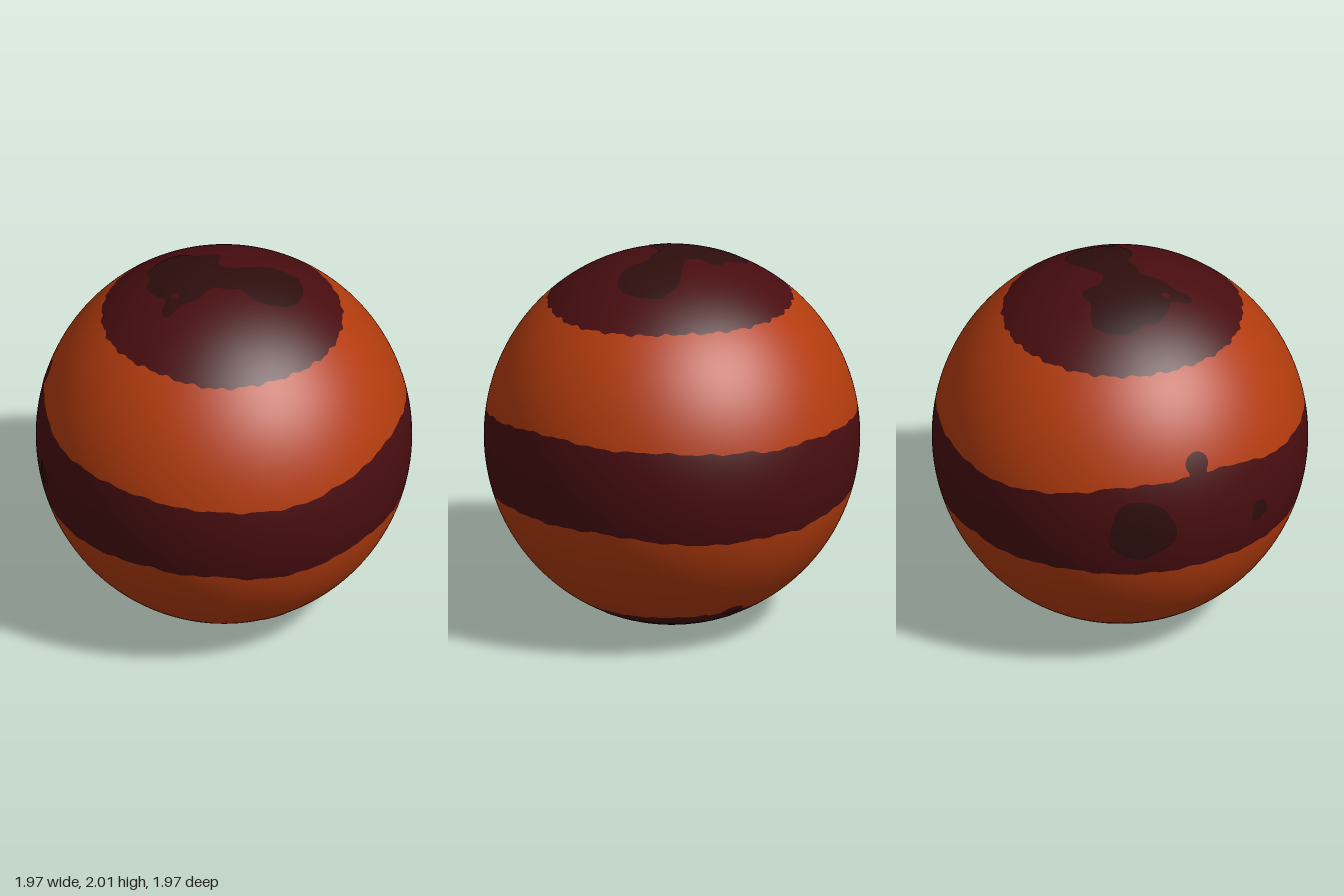
import * as THREE from 'three';

const mat = (name, color) => {
  const m = new THREE.MeshStandardMaterial({ color });
  m.name = name;
  return m;
};

// Heights of the colour borders, evenly spaced round the globe from the front towards +x
const CAP_TOP = [1.75, 1.755, 1.775, 1.79, 1.78, 1.77, 1.765, 1.76, 1.76, 1.755, 1.76, 1.74];
const BELT_TOP = [
  1.16, 1.19, 1.21, 1.24, 1.255, 1.26, 1.25, 1.25, 1.255, 1.245, 1.235, 1.23,
  1.205, 1.215, 1.2, 1.19, 1.175, 1.165, 1.18, 1.2, 1.23, 1.265, 1.275, 1.28,
  1.29, 1.285, 1.25, 1.215, 1.21, 1.205, 1.2, 1.19, 1.175, 1.17, 1.16, 1.155];
const BELT_BOTTOM = [
  0.71, 0.73, 0.755, 0.765, 0.765, 0.77, 0.78, 0.77, 0.75, 0.735, 0.725, 0.73,
  0.73, 0.72, 0.745, 0.75, 0.76, 0.735, 0.735, 0.74, 0.74, 0.73, 0.73, 0.73,
  0.735, 0.735, 0.73, 0.73, 0.73, 0.735, 0.745, 0.755, 0.735, 0.75, 0.72, 0.705];
const CAP_BOTTOM = [0.2, 0.18, 0.18, 0.19, 0.2, 0.18, 0.18, 0.2, 0.23, 0.19, 0.175, 0.185];

// Latitude of a border at turn t (0..1), with a slight ragged wobble
function border(table, seed) {
  return (t) => {
    const f = t * table.length, i = Math.floor(f);
    const a = table[i % table.length], b = table[(i + 1) % table.length];
    const p = t * Math.PI * 2;
    const wobble = 0.004 * Math.sin(29 * p + seed) + 0.003 * Math.sin(53 * p + 2 * seed);
    return Math.asin(a + (b - a) * (f - i) + wobble - 1);
  };
}

function surface(positions, index) {
  const g = new THREE.BufferGeometry();
  g.setAttribute('position', new THREE.Float32BufferAttribute(positions, 3));
  // On a unit sphere the normal follows the position
  const normals = new THREE.Float32BufferAttribute(positions, 3);
  for (let i = 0; i < normals.count; i++) {
    const n = new THREE.Vector3().fromBufferAttribute(normals, i).normalize();
    normals.setXYZ(i, n.x, n.y, n.z);
  }
  g.setAttribute('normal', normals);
  g.setIndex(index);
  return g;
}

// Zone of the sphere between two latitude borders
function zone(low, high, rows) {
  const cols = 240, pos = [], index = [];
  for (let i = 0; i <= cols; i++) {
    const t = (i % cols) / cols, phi = t * Math.PI * 2;
    const a = low(t), b = high(t);
    for (let j = 0; j <= rows; j++) {
      const lat = a + (b - a) * j / rows;
      pos.push(Math.cos(lat) * Math.sin(phi), Math.sin(lat), Math.cos(lat) * Math.cos(phi));
      if (i < cols && j < rows) {
        const k = i * (rows + 1) + j, r = k + rows + 1;
        index.push(k, r, r + 1, k, r + 1, k + 1);
      }
    }
  }
  return surface(pos, index);
}

// Curved patch on the pole, filled from a centre out to an outline of [x, z] points
function patch(outline, lift, { centre = [0, 0], tension = 0.5, steps = 120, rings = 10 } = {}) {
  const curve = new THREE.CatmullRomCurve3(
    outline.map(([x, z]) => new THREE.Vector3(x, 0, z)), true, 'catmullrom', tension);
  const pos = [], index = [], R = 1 + lift;
  for (let i = 0; i <= steps; i++) {
    const p = curve.getPoint((i % steps) / steps);
    for (let j = 0; j <= rings; j++) {
      const x = centre[0] + (p.x - centre[0]) * j / rings;
      const z = centre[1] + (p.z - centre[1]) * j / rings;
      pos.push(x, Math.sqrt(R * R - x * x - z * z), z);
      if (i < steps && j < rings) {
        const k = i * (rings + 1) + j, r = k + rings + 1;
        index.push(k, r + 1, k + 1, k, r, r + 1);
      }
    }
  }
  return surface(pos, index);
}

// Roughly round outline
const blob = (rx, rz, rough = 0) => Array.from({ length: 16 }, (_, i) => {
  const a = i / 16 * Math.PI * 2;
  const s = 1 + rough * (Math.sin(3 * a + 1) + 0.6 * Math.sin(5 * a));
  return [rx * s * Math.cos(a), rz * s * Math.sin(a)];
});

export function createModel() {
  const orange = mat('burntOrange', 0xb23b0e);
  const maroon = mat('darkMaroon', 0x480d10);
  const black = mat('blackBrown', 0x2e0e0d);

  const model = new THREE.Group();
  model.name = 'bandedPlanet';
  const globe = new THREE.Group();
  globe.name = 'globe';
  globe.position.y = 1;
  globe.scale.set(0.987, 1, 0.987);
  model.add(globe);

  const add = (name, geometry, material) => {
    const m = new THREE.Mesh(geometry, material);
    m.name = name;
    globe.add(m);
    return m;
  };
  // Turns a polar patch to a longitude (degrees) and a height on the globe
  const place = (mesh, longitude, height) => {
    mesh.rotation.order = 'YXZ';
    mesh.rotation.set(Math.PI / 2 - Math.asin(height - 1), THREE.MathUtils.degToRad(longitude), 0);
  };

  // Colour zones from bottom to top
  const edges = [
    () => -Math.PI / 2, border(CAP_BOTTOM, 1), border(BELT_BOTTOM, 2),
    border(BELT_TOP, 3), border(CAP_TOP, 4), () => Math.PI / 2];
  ['bottomCap', 'lowerZone', 'equatorBelt', 'upperZone', 'topCap'].forEach((name, i) =>
    add(name, zone(edges[i], edges[i + 1], 16), i % 2 ? orange : maroon));

  // Small round bulges on the zone borders
  [['beltBulge', 238, 1.345, 0.065], ['beltBulgeNeck', 238, 1.295, 0.052],
    ['frontCapBulge', -1, 0.21, 0.065], ['sideCapBulge', 116, 0.21, 0.06],
  ].forEach(([name, lon, y, r]) => place(add(name, patch(blob(r, r), 0.002), maroon), lon, y));

  // Dark stains on the belt
  place(add('largeBeltStain', patch(blob(0.18, 0.175, 0.05), 0.002), black), 219, 1.01);
  place(add('smallBeltStain', patch(blob(0.058, 0.062, 0.1), 0.002), black), 260, 0.95);

  // Dark stain on the top cap, with a small gap
  add('topStain', patch([
    [-0.2, -0.4], [-0.1, -0.41], [-0.04, -0.36], [0, -0.29], [0.08, -0.25], [0.08, -0.2],
    [0.04, -0.15], [0.06, -0.07], [0.15, -0.04], [0.3, -0.01], [0.37, 0.05], [0.4, 0.1],
    [0.37, 0.2], [0.3, 0.28], [0.22, 0.31], [0.12, 0.28], [0.06, 0.22], [0.04, 0.14],
    [-0.03, 0.11], [-0.1, 0.06], [-0.2, 0.09], [-0.3, 0.08], [-0.38, 0.1], [-0.4, 0.05],
    [-0.34, -0.02], [-0.36, -0.1], [-0.36, -0.2], [-0.31, -0.26], [-0.28, -0.35],
  ], 0.002, { centre: [-0.03, -0.08], steps: 174 }), black);
  const gap = blob(0.022, 0.022).map(([x, z]) => [x - 0.29, z - 0.005]);
  add('topStainGap', patch(gap, 0.004, { centre: [-0.29, -0.005], steps: 32, rings: 2 }), maroon);

  // Dark stain on the bottom cap, with a three-cornered gap
  add('bottomStain', patch([
    [0.467, -0.2], [0.47, 0.15], [0.31, 0.41], [0.1, 0.5], [-0.135, 0.516], [-0.42, 0.335],
    [-0.5, 0], [-0.42, -0.3], [-0.2, -0.48], [0.05, -0.52], [0.3, -0.43],
  ], 0.002), black).rotation.x = Math.PI;
  add('bottomStainGap', patch([[0.31, 0.19], [-0.29, 0.13], [0, -0.33]], 0.004, { tension: 0 }),
    maroon).rotation.x = Math.PI;

  return model;
}
